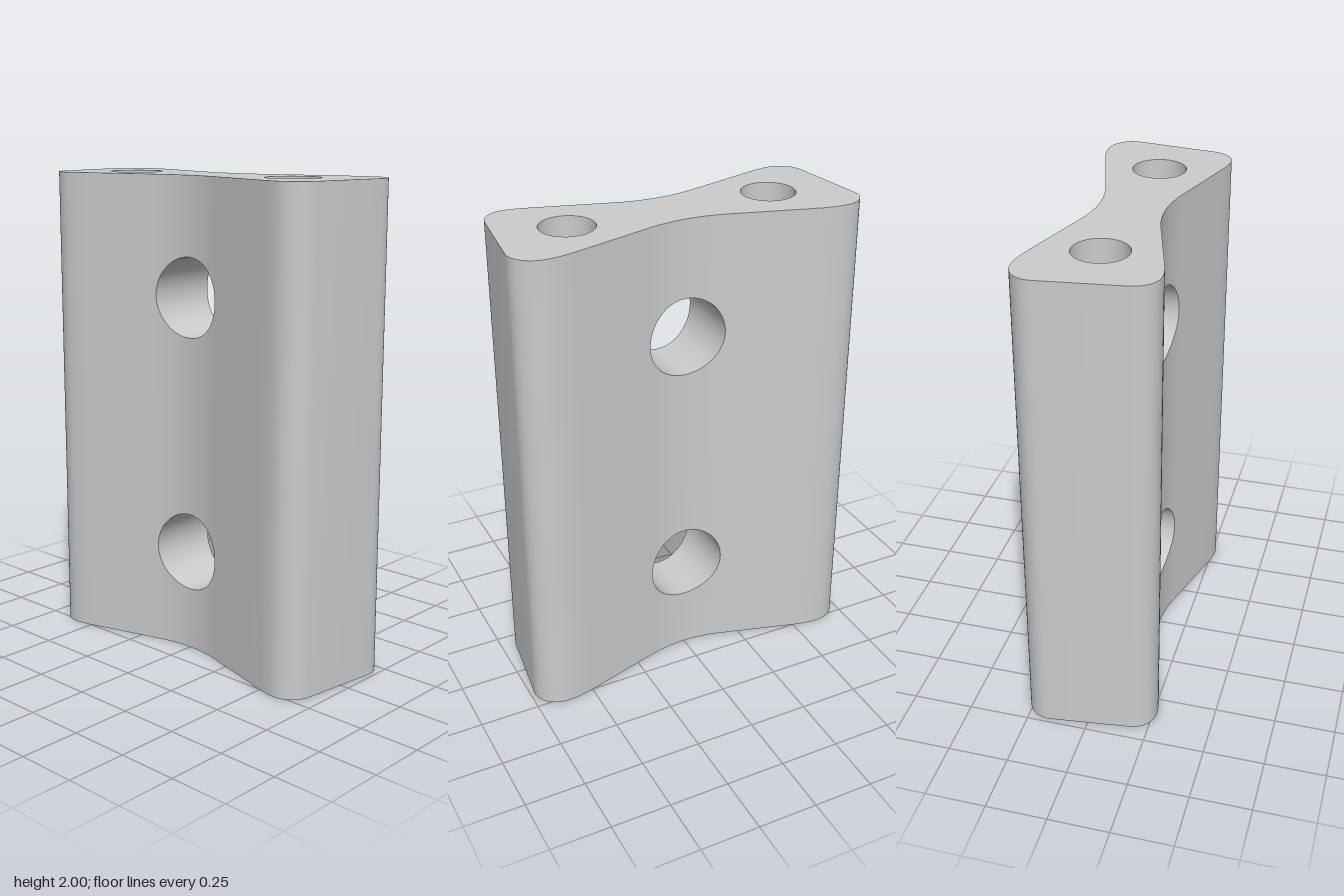
import * as THREE from 'three';
import { toCreasedNormals } from 'three/addons/utils/BufferGeometryUtils.js';

const HEIGHT = 2;
const CROSS_R = 0.165, CROSS_Y = [0.43, 1.51];          // horizontal through holes
const BORE_X = 0.43, BORE_R = 0.11, PIN_R = 0.055, BORE_DEPTH = 0.4; // stepped vertical holes
const Q = 12;                                           // segments per quarter circle

// Half thickness of the waist: a shallow arc running into a straight flare
const waist = (x) => {
  const a = Math.abs(x), e = 0.17, s = 0.29;
  return 0.131 + (a < e ? (s * a * a) / (2 * e) : s * (a - e / 2));
};

// Closed outline in (x, z), starting at the front centre and going round by +x
function makeOutline() {
  const v = (x, z) => new THREE.Vector2(x, z);
  const xs = [];
  for (let i = 0; i <= Q; i++) xs.push(CROSS_R * Math.sin((i / Q) * Math.PI / 2));
  xs.push(0.17);
  const half = xs.map((x) => v(x, waist(x)));
  const front = new THREE.QuadraticBezierCurve(v(0.49, waist(0.49)), v(0.55, 0.266), v(0.585, 0.266));
  const frontCorner = new THREE.CubicBezierCurve(v(0.585, 0.266), v(0.64, 0.266), v(0.683, 0.228), v(0.69, 0.172));
  const backCorner = new THREE.CubicBezierCurve(v(0.732, -0.16), v(0.739, -0.22), v(0.685, -0.27), v(0.62, -0.27));
  const back = new THREE.QuadraticBezierCurve(v(0.62, -0.27), v(0.564, -0.27), v(0.5, -waist(0.5)));
  half.push(...front.getPoints(6), ...frontCorner.getPoints(12).slice(1));
  half.push(...backCorner.getPoints(12), ...back.getPoints(6).slice(1));
  half.push(...xs.reverse().map((x) => v(x, -waist(x))));
  const mirrored = half.slice(1, -1).reverse().map((p) => v(-p.x, p.y));
  return [...half, ...mirrored];
}

function quadsToGeometry(quads, crease = 0.5) {
  const pos = [];
  for (const [a, b, c, d] of quads) pos.push(...a, ...b, ...c, ...a, ...c, ...d);
  const geo = new THREE.BufferGeometry();
  geo.setAttribute('position', new THREE.Float32BufferAttribute(pos, 3));
  return toCreasedNormals(geo, crease);
}

// Vertical strips round the outline, interrupted where the cross holes pass
function wallGeometry(outline) {
  const levels = (x) => [0, ...CROSS_Y.flatMap((y) => {
    const h = Math.sqrt(Math.max(0, CROSS_R ** 2 - x * x));
    return [y - h, y + h];
  }), HEIGHT];
  const quads = [];
  outline.forEach((a, i) => {
    const b = outline[(i + 1) % outline.length];
    const pierced = Math.max(Math.abs(a.x), Math.abs(b.x)) < CROSS_R + 1e-6;
    const la = pierced ? levels(a.x) : [0, HEIGHT];
    const lb = pierced ? levels(b.x) : [0, HEIGHT];
    for (let k = 0; k < la.length; k += 2) {
      quads.push([[a.x, la[k], a.y], [b.x, lb[k], b.y], [b.x, lb[k + 1], b.y], [a.x, la[k + 1], a.y]]);
    }
  });
  return quadsToGeometry(quads);
}

// Inner surface of a cross hole, its ends following the curved faces
function crossHoleGeometry(cy) {
  const quads = [];
  const at = (i, side) => {
    const t = (i / (4 * Q)) * Math.PI * 2, x = CROSS_R * Math.sin(t);
    return [x, cy + CROSS_R * Math.cos(t), side * waist(x)];
  };
  for (let i = 0; i < 4 * Q; i++) quads.push([at(i, 1), at(i, -1), at(i + 1, -1), at(i + 1, 1)]);
  return quadsToGeometry(quads);
}

// Flat end face with the two bore openings; dir is 1 for top, -1 for bottom
function capGeometry(outline, dir) {
  const shape = new THREE.Shape(outline.map((p) => new THREE.Vector2(p.x, -dir * p.y)));
  for (const x of [-BORE_X, BORE_X]) {
    const ring = [];
    for (let i = 0; i < 4 * Q; i++) {
      const t = (i / (4 * Q)) * Math.PI * 2;
      ring.push(new THREE.Vector2(x + BORE_R * Math.sin(t), BORE_R * Math.cos(t)));
    }
    shape.holes.push(new THREE.Path(ring));
  }
  return new THREE.ShapeGeometry(shape).rotateX(-dir * Math.PI / 2).translate(0, dir > 0 ? HEIGHT : 0, 0);
}

// Vertical bore, wide at both ends and narrow between
function boreGeometry() {
  const profile = [
    [BORE_R, HEIGHT], [BORE_R, HEIGHT - BORE_DEPTH], [PIN_R, HEIGHT - BORE_DEPTH],
    [PIN_R, BORE_DEPTH], [BORE_R, BORE_DEPTH], [BORE_R, 0],
  ].map(([r, y]) => new THREE.Vector2(r, y));
  return toCreasedNormals(new THREE.LatheGeometry(profile, 4 * Q), 0.5);
}

export function createModel() {
  const group = new THREE.Group();
  group.name = 'spacerBlock';
  const material = new THREE.MeshStandardMaterial({ color: 0xcccccc });
  const add = (name, geometry, x = 0) => {
    const mesh = new THREE.Mesh(geometry, material);
    mesh.name = name;
    mesh.position.x = x;
    group.add(mesh);
  };
  const outline = makeOutline();
  add('sideWall', wallGeometry(outline));
  add('topFace', capGeometry(outline, 1));
  add('bottomFace', capGeometry(outline, -1));
  add('lowerCrossHole', crossHoleGeometry(CROSS_Y[0]));
  add('upperCrossHole', crossHoleGeometry(CROSS_Y[1]));
  add('leftBore', boreGeometry(), BORE_X);
  add('rightBore', boreGeometry(), -BORE_X);
  return group;
}
